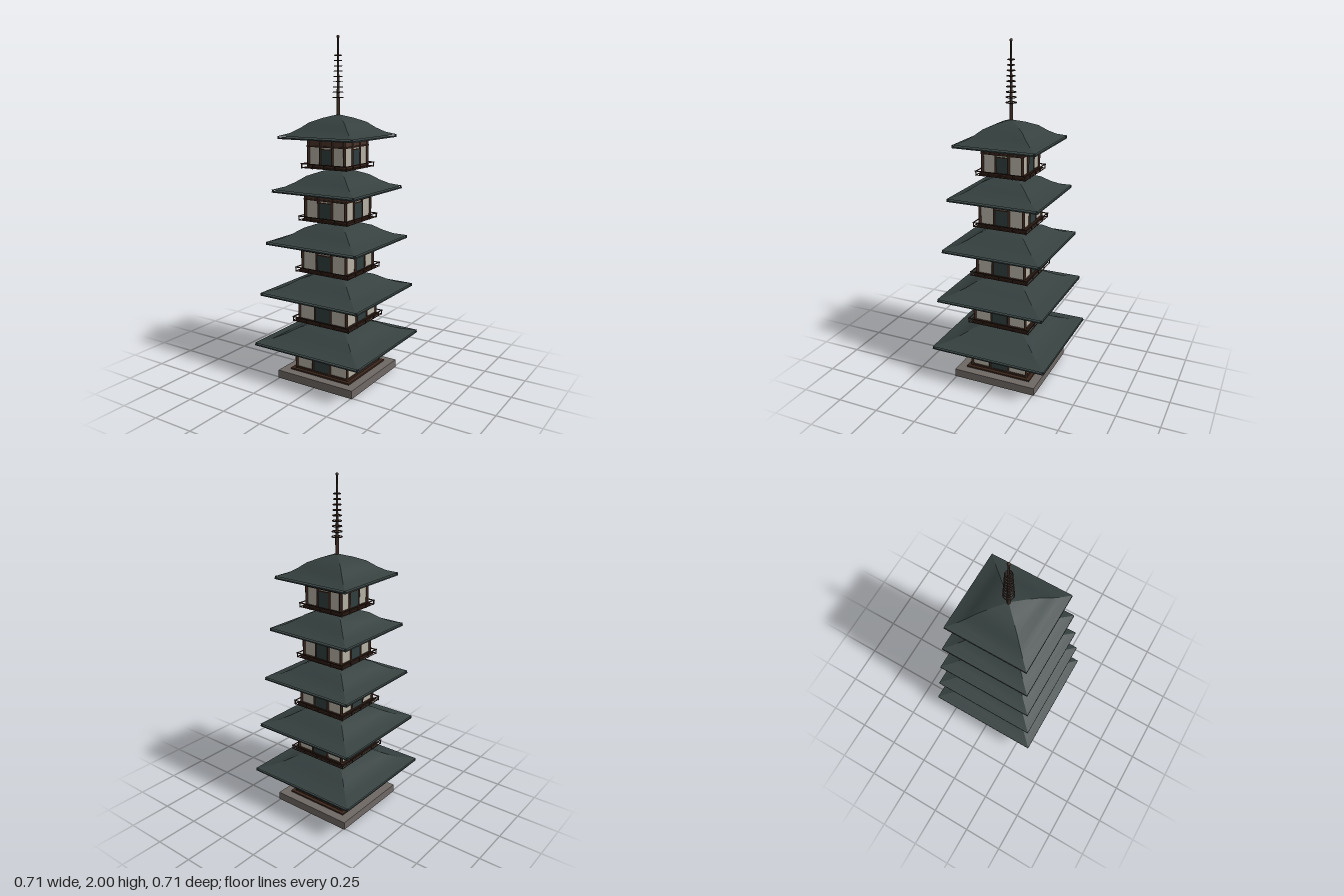
import * as THREE from 'three';

const mat = (name, color) => {
  const m = new THREE.MeshStandardMaterial({ color });
  m.name = name;
  return m;
};

export function createModel() {
  const tile = mat('roof tile', 0x35403f);
  tile.side = THREE.DoubleSide;
  const timber = mat('dark timber', 0x3a251c);
  const beamWood = mat('beam wood', 0x4a342a);
  const plaster = mat('plaster', 0xb3afa3);
  const doorPaint = mat('door paint', 0x2f3c3c);
  const stone = mat('stone', 0x6e6864);
  const bronze = mat('bronze', 0x3b2a23);

  const pagoda = new THREE.Group();
  pagoda.name = 'pagoda';

  const add = (parent, name, geometry, material, x = 0, y = 0, z = 0) => {
    const mesh = new THREE.Mesh(geometry, material);
    mesh.name = name;
    mesh.position.set(x, y, z);
    parent.add(mesh);
    return mesh;
  };
  // Box given by its centre x and z and its bottom and top heights
  const slab = (parent, name, w, d, y0, y1, material, x = 0, z = 0) =>
    add(parent, name, new THREE.BoxGeometry(w, y1 - y0, d), material, x, (y0 + y1) / 2, z);
  const post = (parent, name, r, y0, y1, material, x = 0, z = 0, sides = 8) =>
    add(parent, name, new THREE.CylinderGeometry(r, r, y1 - y0, sides), material, x, (y0 + y1) / 2, z);

  // Roof section: fraction of the eave half width, height above the storey floor
  const roofProfile = [[0, 0.303], [0.25, 0.284], [0.48, 0.259], [0.64, 0.226], [0.8, 0.201], [1, 0.185]];
  const roofSide = (half) => {
    const pos = [], index = [];
    roofProfile.forEach(([f, y], i) => {
      const r = f * half;
      pos.push(-r, y, r, r, y, r);
      if (i) {
        const a = 2 * (i - 1), b = 2 * i;
        index.push(a, b, b + 1);
        if (i > 1) index.push(a, b + 1, a + 1);
      }
    });
    // the two apex vertices coincide, so they share the top face normal
    const g = new THREE.BufferGeometry();
    g.setAttribute('position', new THREE.Float32BufferAttribute(pos, 3));
    g.setIndex(index);
    g.computeVertexNormals();
    return g;
  };

  // Stone foundation
  slab(pagoda, 'foundation', 0.516, 0.516, 0, 0.048, stone);

  const storeys = 5;
  for (let i = 0; i < storeys; i++) {
    const storey = new THREE.Group();
    storey.name = 'storey' + (i + 1);
    storey.position.y = 0.048 + i * 0.303;
    pagoda.add(storey);

    const h = 0.178 - i * 0.0142;         // column line
    const eave = 0.354 - i * 0.027;       // eave half width
    const deck = i ? h + 0.016 : 0.205;   // floor half width
    const rail = h + 0.028;               // railing line

    // Floor, wall core and eave board
    slab(storey, 'floor', deck * 2, deck * 2, 0, 0.009, timber);
    slab(storey, 'walls', h * 2 - 0.006, h * 2 - 0.006, 0.009, 0.125, plaster);
    slab(storey, 'bracketBand', h * 2 + 0.004, h * 2 + 0.004, 0.125, 0.186, beamWood);
    slab(storey, 'eaveBoard', eave * 2, eave * 2, 0.169, 0.176, tile);

    for (let k = 0; k < 4; k++) {
      const side = new THREE.Group();
      side.name = 'side' + (k + 1);
      side.rotation.y = k * Math.PI / 2;
      storey.add(side);

      add(side, 'roofSlope', roofSide(eave), tile);
      slab(side, 'eaveCorner', 0.008, 0.008, 0.176, 0.186, tile, eave - 0.005, eave - 0.005);

      // Columns: one corner and two inner ones per side
      post(side, 'cornerColumn', 0.0085, 0.009, 0.17, timber, h, h);
      for (const s of [-1, 1]) post(side, 'innerColumn', 0.007, 0.009, 0.17, timber, s * h / 3, h);

      // Sill and tie beams
      slab(side, 'sill', h * 2, 0.012, 0.009, 0.019, timber, 0, h);
      slab(side, 'lowerBeam', h * 2 + 0.016, 0.014, 0.122, 0.131, timber, 0, h);
      slab(side, 'upperBeam', h * 2 + 0.016, 0.014, 0.158, 0.168, timber, 0, h);

      // Door in the middle bay with its lintel
      slab(side, 'door', h * 2 / 3 - 0.01, 0.006, 0.019, 0.108, doorPaint, 0, h);
      slab(side, 'doorLintel', h * 2 / 3 - 0.01, 0.008, 0.108, 0.113, timber, 0, h);

      // Balcony railing on the upper storeys
      if (i) {
        slab(side, 'topRail', rail * 2 + 0.012, 0.005, 0.024, 0.029, timber, 0, rail);
        slab(side, 'lowRail', rail * 2, 0.004, 0.002, 0.006, timber, 0, rail);
        for (let p = 0; p < 4; p++) {
          slab(side, 'railPost', 0.005, 0.005, 0, 0.026, timber, rail * (1 - p / 2), rail);
        }
      }
    }
  }

  // Spire with nine rings and a finial
  const spire = new THREE.Group();
  spire.name = 'spire';
  pagoda.add(spire);
  post(spire, 'spireBase', 0.01, 1.55, 1.66, bronze, 0, 0, 12);
  add(spire, 'spirePole', new THREE.CylinderGeometry(0.0045, 0.008, 0.34, 12), bronze, 0, 1.82, 0);
  for (let n = 0; n < 9; n++) {
    const ring = add(spire, 'spireRing', new THREE.TorusGeometry(0.029 - n * 0.0013, 0.003, 6, 20),
      bronze, 0, 1.657 + n * 0.029, 0);
    ring.rotation.x = Math.PI / 2;
    slab(spire, 'ringSpoke', 0.05 - n * 0.0026, 0.003, 1.6555 + n * 0.029, 1.6585 + n * 0.029, bronze);
  }
  add(spire, 'finial', new THREE.SphereGeometry(0.009, 12, 8), bronze, 0, 1.991, 0);

  return pagoda;
}
